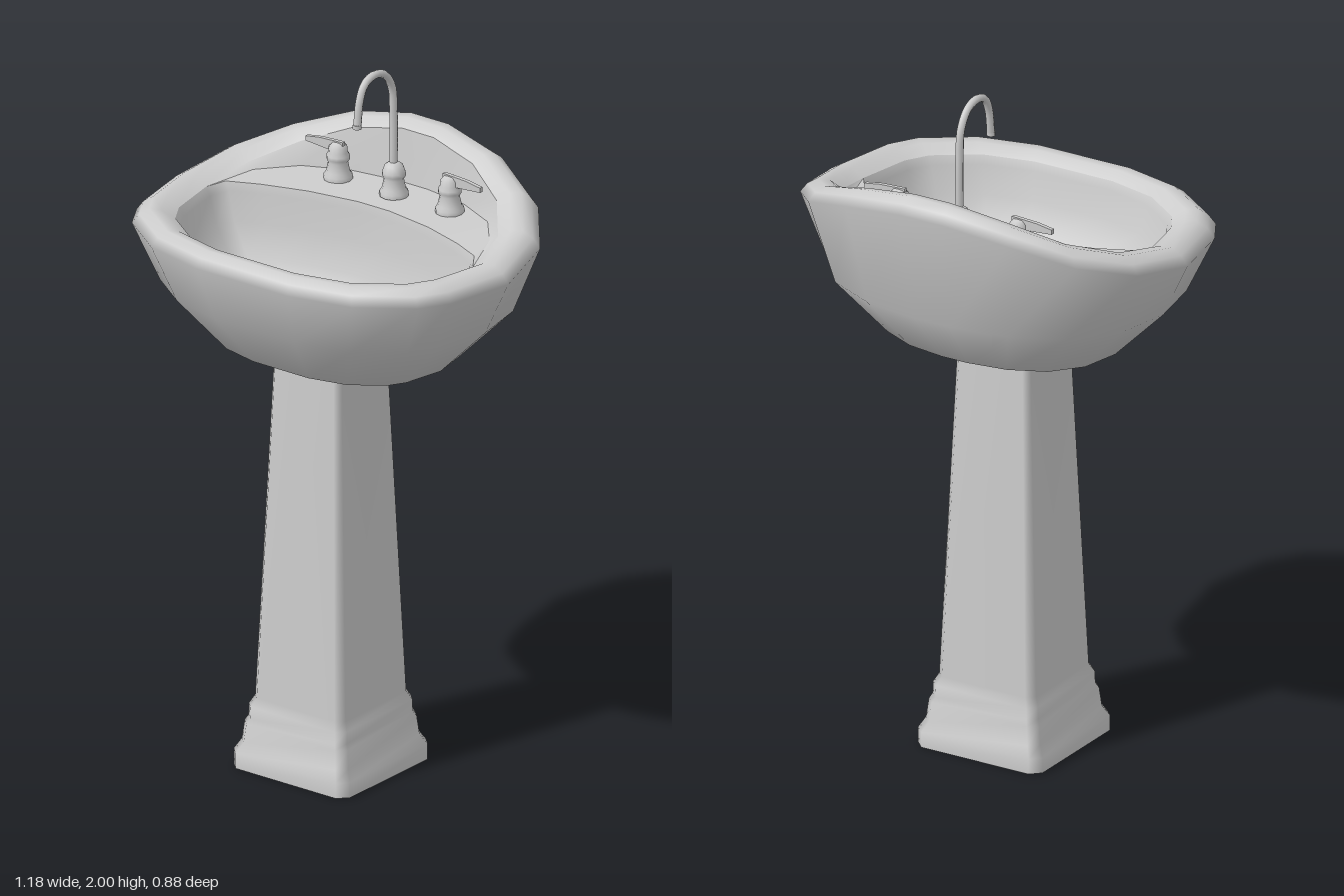
import * as THREE from 'three';

const grey = new THREE.MeshStandardMaterial({ color: 0xcccccc, side: THREE.DoubleSide });

// Skin a list of rings (each a list of [x, y, z]) with smooth normals
function loft(name, rings, closed = true) {
  const n = rings[0].length, index = [];
  for (let r = 0; r < rings.length - 1; r++) {
    for (let i = 0; i < (closed ? n : n - 1); i++) {
      const j = (i + 1) % n;
      const a = r * n + i, b = r * n + j, c = a + n, d = b + n;
      index.push(a, c, b, b, c, d);
    }
  }
  const geo = new THREE.BufferGeometry();
  geo.setAttribute('position', new THREE.Float32BufferAttribute(rings.flat(2), 3));
  geo.setIndex(index);
  geo.computeVertexNormals();
  return part(name, geo);
}

function part(name, geo) {
  const mesh = new THREE.Mesh(geo, grey);
  mesh.name = name;
  return mesh;
}

function lathe(name, profile, sides, x, y, z) {
  const mesh = part(name, new THREE.LatheGeometry(profile.map(p => new THREE.Vector2(...p)), sides));
  mesh.position.set(x, y, z);
  return mesh;
}

// Basin outline, left half from back to front: x, z, rise of the rim
const half = [
  [0.07, -0.445, 0.165], [0.265, -0.415, 0.135], [0.435, -0.335, 0.08],
  [0.55, -0.195, 0.033], [0.59, 0, 0], [0.55, 0.205, 0],
  [0.5, 0.29, 0], [0.35, 0.395, 0], [0.16, 0.44, 0],
];
const outline = half.concat(half.map(([x, z, h]) => [-x, z, h]).reverse());
const ring = (scale, y, lift) => outline.map(([x, z, h]) => [x * scale, y + h * lift, z * scale]);

function basin() {
  const g = new THREE.Group();
  g.name = 'basin';

  // Outer shell running up and over the rolled rim
  const inner = ring(0.79, 1.585, 1);
  g.add(loft('shellAndRim', [
    ring(0, 1.197, 0), ring(0.19, 1.2, 0), ring(0.6, 1.245, 0), ring(0.865, 1.4, 0),
    ring(1, 1.565, 1), ring(0.965, 1.592, 1), ring(0.915, 1.61, 1), ring(0.855, 1.607, 1), inner,
  ]));

  // Tap deck with its upright back wall
  const backIds = [13, 14, 15, 16, 17, 0, 1, 2, 3, 4];
  const edgeZ = [-0.155, -0.13, -0.088, -0.047];
  const atEnd = i => i === 4 || i === 13;
  const deckY = 1.603;
  const edge = i => atEnd(i) ? inner[i] : [inner[i][0], deckY - 0.008, edgeZ[i < 4 ? i : 17 - i]];
  const wallFoot = backIds.map(i => atEnd(i) ? inner[i] : [inner[i][0] * 0.95, deckY, inner[i][2] * 0.93]);
  g.add(loft('deckBackWall', [backIds.map(i => inner[i]), wallFoot], false));
  g.add(loft('tapDeck', [wallFoot, backIds.map(edge)], false));

  // Bowl sinking from the opening to the drain
  const opening = inner.map((p, i) => backIds.includes(i) ? edge(i) : p);
  const depth = [[0.97, 0.08], [0.92, 0.35], [0.8, 0.65], [0.6, 0.86], [0.35, 0.97], [0, 1]];
  const cz = 0.015, bottom = 1.28;
  g.add(loft('bowl', [opening, ...depth.map(([s, t]) =>
    opening.map(([x, y, z]) => [x * s, y + (bottom - y) * t, cz + (z - cz) * s]))]));

  // Drain flange and stopper
  g.add(lathe('drainFlange', [[0.066, 0], [0.062, 0.012], [0.05, 0.014], [0.044, 0.004], [0, 0.004]], 16, 0, 1.283, cz));
  g.add(lathe('drainStopper', [[0.042, 0], [0.042, 0.014], [0.03, 0.024], [0, 0.03]], 16, 0, 1.285, cz));
  return g;
}

// Square column with chamfered corners and a moulded, open foot
function pedestal() {
  const profile = [
    [0.203, 0], [0.203, 0.045], [0.186, 0.075], [0.18, 0.13], [0.172, 0.145],
    [0.171, 0.18], [0.158, 0.205], [0.119, 1.2], [0.117, 1.24],
  ];
  return loft('pedestal', profile.map(([w, y]) => {
    const c = w * 0.86;
    return [[-c, -w], [c, -w], [w, -c], [w, c], [c, w], [-c, w], [-w, c], [-w, -c]]
      .map(([x, z]) => [x, y, z + 0.039]);
  }));
}

const tapZ = -0.245, tapY = 1.6;
const tapBody = [[0.041, 0], [0.041, 0.012], [0.034, 0.022], [0.028, 0.05], [0.033, 0.06], [0.033, 0.07]];

function spout() {
  const g = new THREE.Group();
  g.name = 'spout';
  g.add(lathe('spoutBase', [...tapBody, [0.026, 0.09], [0.012, 0.1], [0, 0.1]], 12, 0, tapY, tapZ));
  const path = new THREE.CatmullRomCurve3([
    [1.67, -0.243], [1.85, -0.243], [1.925, -0.236], [1.972, -0.205], [1.988, -0.158],
    [1.975, -0.115], [1.935, -0.092], [1.855, -0.08],
  ].map(([y, z]) => new THREE.Vector3(0, y, z)));
  g.add(part('spoutPipe', new THREE.TubeGeometry(path, 32, 0.0115, 8)));
  const tip = part('spoutTip', new THREE.CylinderGeometry(0.0125, 0.0125, 0.012, 8));
  tip.position.set(0, 1.858, -0.08);
  g.add(tip);
  return g;
}

// Tap body with a flat tapered lever pointing outwards
function handle(side) {
  const g = new THREE.Group();
  g.name = side > 0 ? 'leftHandle' : 'rightHandle';
  g.add(lathe('handleBody', [...tapBody, [0.027, 0.08], [0.026, 0.095], [0.016, 0.106], [0, 0.108]], 12, 0, 0, 0));
  const shape = new THREE.Shape([[-0.02, 0.085], [0.03, 0.08], [0.11, 0.086], [0.11, 0.1], [0.06, 0.108], [-0.02, 0.112]]
    .map(p => new THREE.Vector2(p[0] * side, p[1])));
  const lever = part('lever', new THREE.ExtrudeGeometry(shape, { depth: 0.012, bevelEnabled: false }));
  lever.position.z = -0.006;
  g.add(lever);
  g.position.set(side * 0.195, tapY, tapZ);
  return g;
}

export function createModel() {
  const model = new THREE.Group();
  model.name = 'pedestalSink';
  model.add(pedestal(), basin(), spout(), handle(1), handle(-1));
  return model;
}
